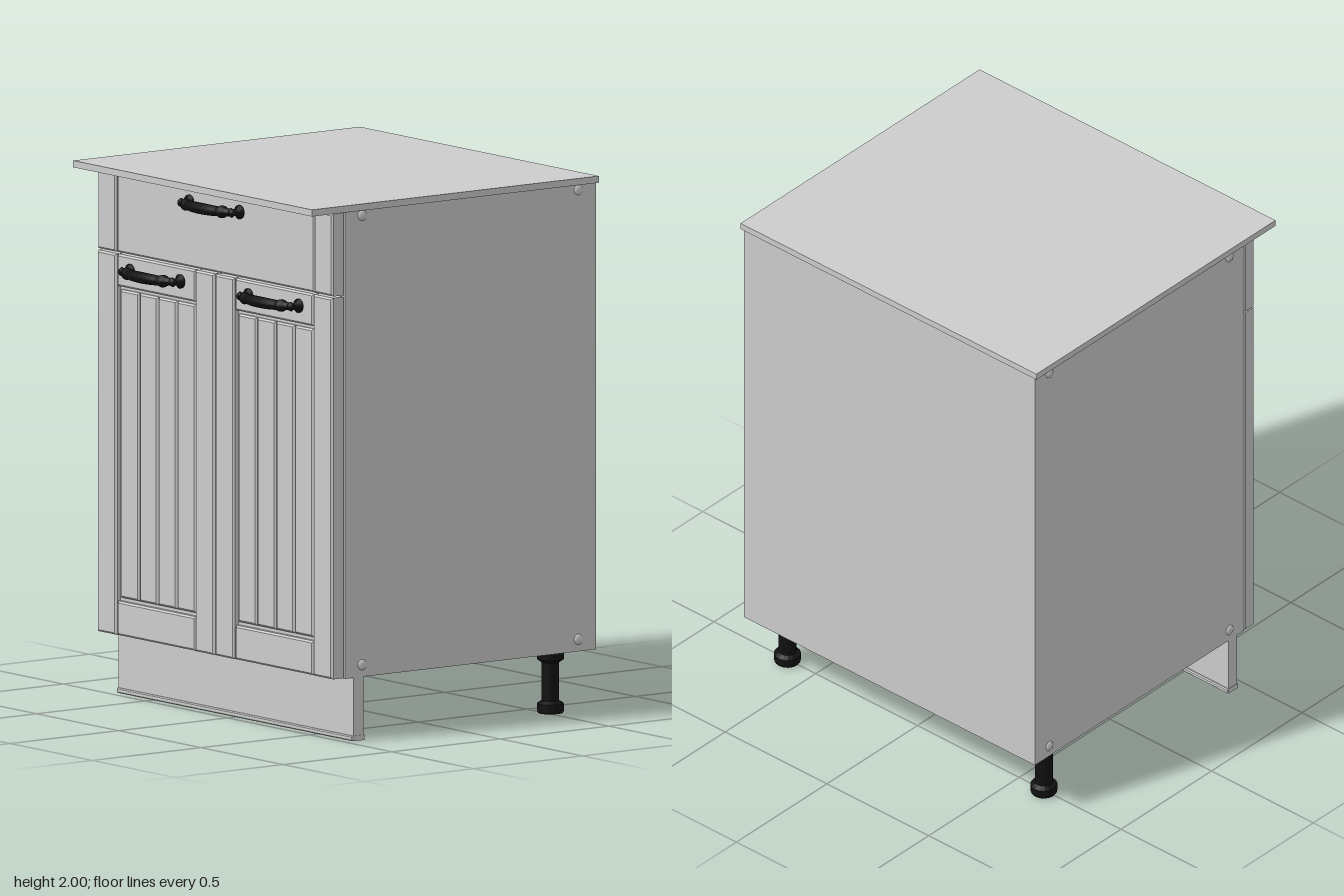
import * as THREE from 'three';

const paint = new THREE.MeshStandardMaterial({ color: 0xcccccc });
paint.name = 'paintedBoard';
const black = new THREE.MeshStandardMaterial({ color: 0x111111 });
black.name = 'blackMetal';

function add(parent, name, geometry, material) {
  const mesh = new THREE.Mesh(geometry, material);
  mesh.name = name;
  parent.add(mesh);
  return mesh;
}

// Plain box given by its limits
function board(parent, name, x0, x1, y0, y1, z0, z1) {
  const g = new THREE.BoxGeometry(x1 - x0, y1 - y0, z1 - z0);
  g.translate((x0 + x1) / 2, (y0 + y1) / 2, (z0 + z1) / 2);
  return add(parent, name, g, paint);
}

// Board whose front edges are chamfered by b
function bevelBoard(parent, name, x0, x1, y0, y1, z0, z1, b = 0.007) {
  const s = new THREE.Shape();
  s.moveTo(x0 + b, y0 + b);
  s.lineTo(x1 - b, y0 + b);
  s.lineTo(x1 - b, y1 - b);
  s.lineTo(x0 + b, y1 - b);
  s.closePath();
  const g = new THREE.ExtrudeGeometry(s, {
    depth: z1 - z0 - 2 * b, bevelEnabled: true, bevelThickness: b, bevelSize: b, bevelSegments: 1,
  });
  g.translate(0, 0, z0 + b);
  return add(parent, name, g, paint);
}

const lathe = (pts, n) => new THREE.LatheGeometry(pts.map(([r, y]) => new THREE.Vector2(r, y)), n);

// Bowed pull with a swelling grip, standing on two round feet
function handle(x, y) {
  const h = new THREE.Group();
  h.name = 'handle';
  const grip = new THREE.CylinderGeometry(1, 1, 2, 14, 32);
  grip.rotateZ(-Math.PI / 2);
  const p = grip.attributes.position;
  for (let i = 0; i < p.count; i++) {
    const u = p.getX(i);
    const a = Math.abs(u);
    const ring = 0.008 * Math.exp(-(((a - 0.72) / 0.06) ** 2));
    const r = 0.013 + 0.008 * (1 - a * a) + ring;
    p.setXYZ(i, u * 0.155, p.getY(i) * r, p.getZ(i) * r + 0.033 + 0.033 * (1 - a ** 2.5));
  }
  grip.computeVertexNormals();
  add(h, 'grip', grip, black);
  for (const s of [-1, 1]) {
    const foot = lathe([[0, 0], [0.026, 0], [0.026, 0.008], [0.014, 0.018], [0.013, 0.032], [0.018, 0.04], [0.012, 0.05], [0, 0.053]], 14);
    foot.rotateX(Math.PI / 2);
    add(h, 'handleFoot', foot, black).position.x = s * 0.153;
  }
  h.position.set(x, y, 0.556);
  return h;
}

// Door spanning x = 0 to 0.71 on the given side
function door(side) {
  const d = new THREE.Group();
  d.name = side > 0 ? 'leftDoor' : 'rightDoor';
  const part = (name, a, b, y0, y1, z1, bevel) =>
    bevelBoard(d, name, Math.min(side * a, side * b), Math.max(side * a, side * b), y0, y1, 0.5, z1, bevel);
  part('doorBacking', 0.01, 0.71, 0.25, 1.655, 0.537, 0.003);
  part('innerStile', 0.003, 0.118, 0.243, 1.66, 0.56);
  part('outerStile', 0.6, 0.715, 0.243, 1.66, 0.56);
  part('topRail', 0.122, 0.596, 1.54, 1.66, 0.557);
  part('bottomRail', 0.122, 0.596, 0.243, 0.37, 0.557);
  // Four vertical tongue boards
  for (let i = 0; i < 4; i++) {
    const x = 0.13 + i * 0.115;
    part('tongueBoard', x, x + 0.111, 0.383, 1.528, 0.55);
  }
  d.add(handle(side * 0.36, 1.607));
  return d;
}

export function createModel() {
  const cabinet = new THREE.Group();
  cabinet.name = 'kitchenBaseCabinet';

  board(cabinet, 'carcass', -0.715, 0.715, 0.24, 1.975, -0.655, 0.5);
  board(cabinet, 'worktop', -0.727, 0.727, 1.975, 2, -0.66, 0.66);

  // Plinth with a slightly thicker foot
  const plinth = new THREE.Group();
  plinth.name = 'plinth';
  board(plinth, 'plinthBoard', -0.715, 0.715, 0.02, 0.24, 0.415, 0.46);
  bevelBoard(plinth, 'plinthFoot', -0.717, 0.717, 0.005, 0.024, 0.407, 0.468, 0.004);
  cabinet.add(plinth);

  // Drawer front with end strips
  const drawer = new THREE.Group();
  drawer.name = 'drawer';
  bevelBoard(drawer, 'drawerPanel', -0.6, 0.6, 1.666, 1.972, 0.5, 0.555);
  for (const s of [-1, 1]) {
    const c = s * 0.6595;
    bevelBoard(drawer, 'drawerStrip', c - 0.0555, c + 0.0555, 1.666, 1.972, 0.5, 0.558);
  }
  drawer.add(handle(0, 1.91));
  cabinet.add(drawer, door(-1), door(1));

  for (const s of [-1, 1]) {
    // Rear leg with flanged ends
    const leg = lathe([[0, 0], [0.046, 0], [0.05, 0.008], [0.05, 0.035], [0.033, 0.046], [0.033, 0.188],
      [0.05, 0.2], [0.05, 0.222], [0.046, 0.235], [0, 0.235]], 16).toNonIndexed();
    leg.computeVertexNormals();
    add(cabinet, 'rearLeg', leg, black).position.set(s * 0.63, 0.008, -0.51);

    // Screw caps on the side walls
    for (const y of [0.285, 1.955]) {
      for (const z of [0.42, -0.575]) {
        const cap = add(cabinet, 'screwCap', new THREE.SphereGeometry(0.02, 12, 8), paint);
        cap.scale.x = 0.4;
        cap.position.set(s * 0.715, y, z);
      }
    }
  }
  return cabinet;
}
